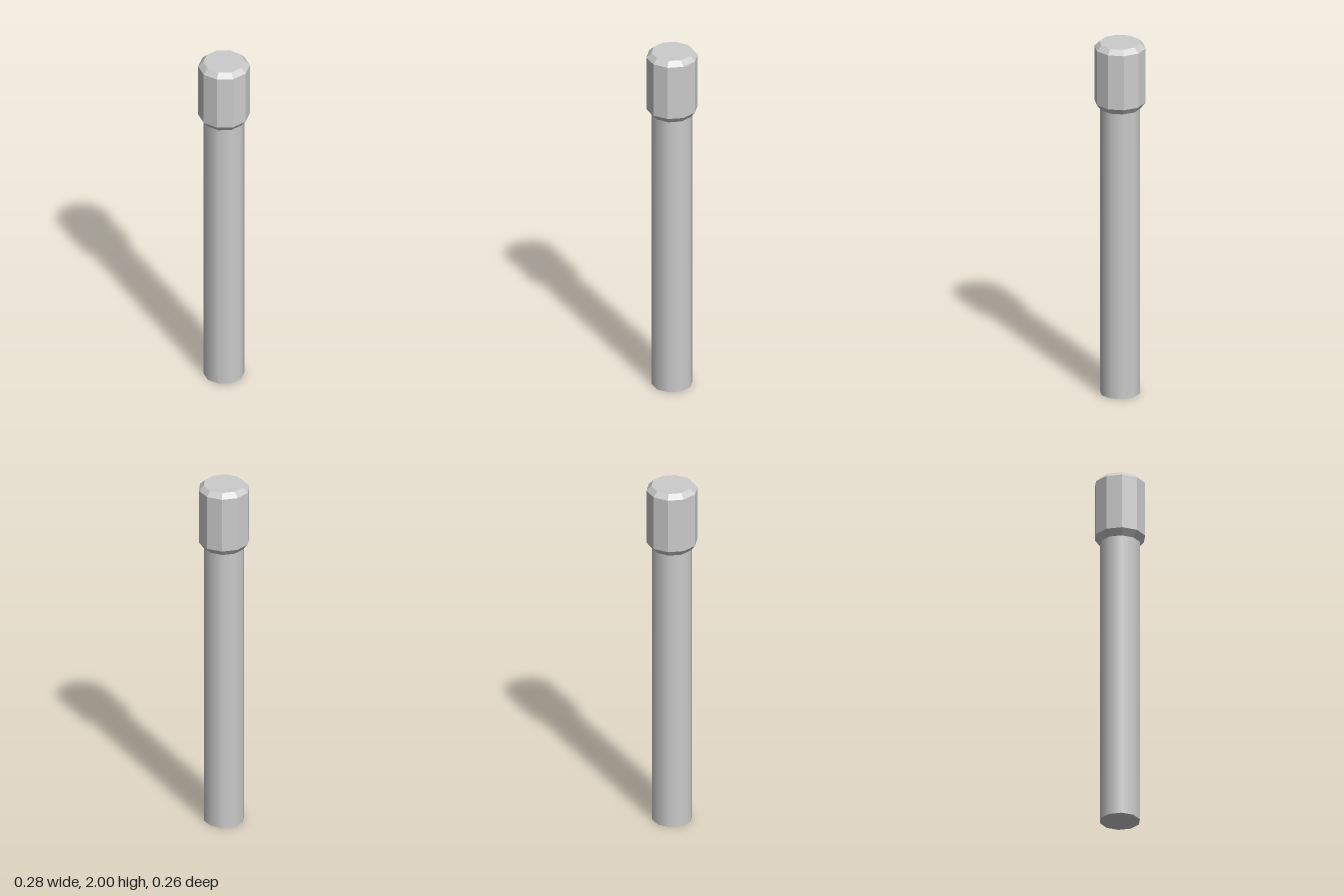
import * as THREE from 'three';

const SIDES = 10;
const START = Math.PI / 2; // puts a corner on the x axis

export function createModel() {
  const model = new THREE.Group();
  model.name = 'peg';

  // Smooth shaft with flat ends
  const shaftHeight = 1.63;
  const shaft = new THREE.Mesh(
    new THREE.CylinderGeometry(0.109, 0.109, shaftHeight, SIDES, 1, false, START),
    new THREE.MeshStandardMaterial({ color: 0xcccccc })
  );
  shaft.name = 'shaft';
  shaft.position.y = shaftHeight / 2;
  model.add(shaft);

  // Faceted head, bevelled at both ends
  const profile = [
    [0, 1.63], [0.111, 1.63], [0.138, 1.664], [0.138, 1.973], [0.111, 2], [0, 2],
  ].map(([r, y]) => new THREE.Vector2(r, y));
  const head = new THREE.Mesh(
    new THREE.LatheGeometry(profile, SIDES, START),
    new THREE.MeshStandardMaterial({ color: 0xcccccc, flatShading: true })
  );
  head.name = 'head';
  model.add(head);

  return model;
}
